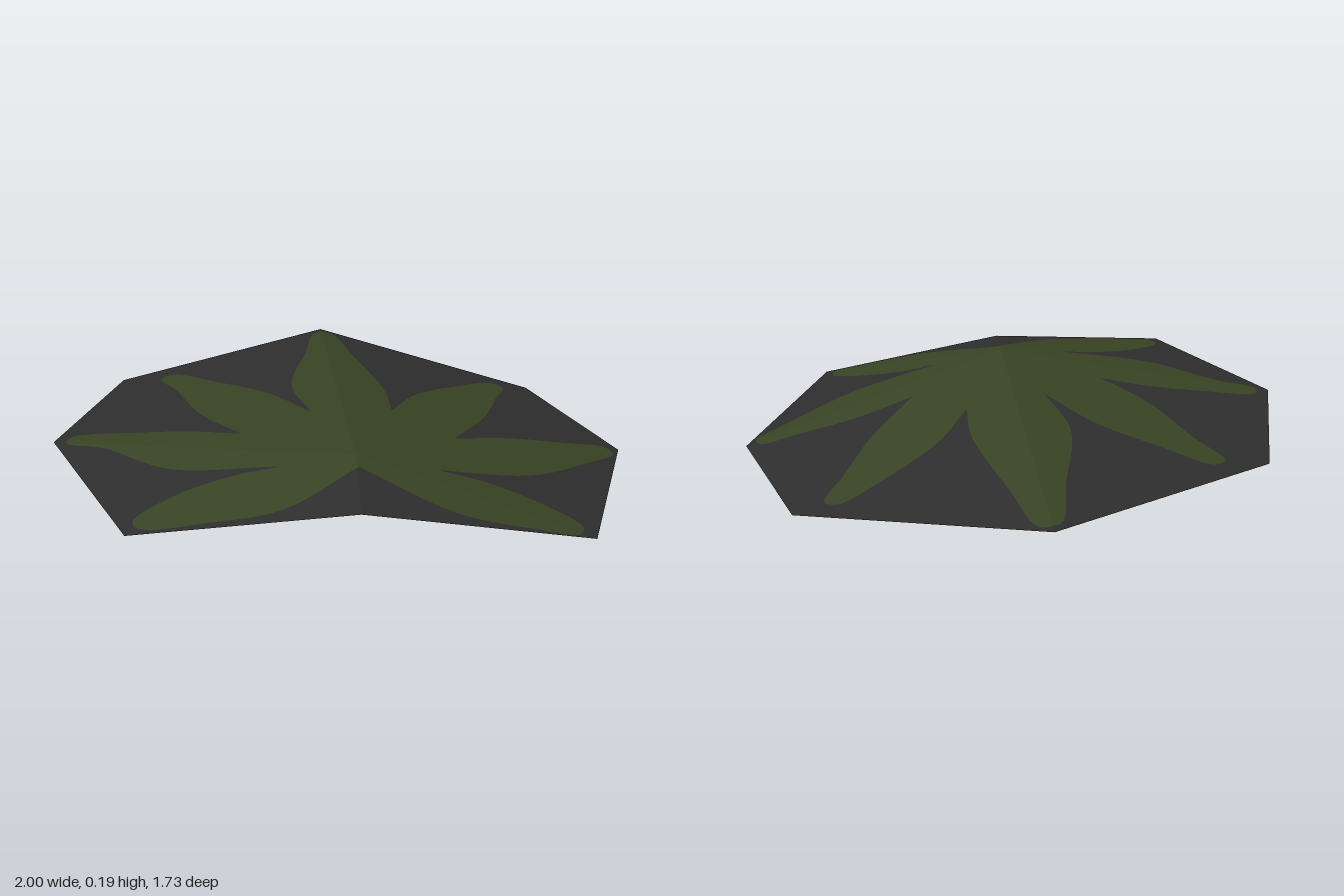
import * as THREE from 'three';

// Folded sheet: a peak and its rim, as x, y, z
const PEAK = [0.01, 0.19, 0.55];
const RIM = [
  [-0.02, 0.16, -0.865], [0.79, 0.026, -0.44], [1, 0, 0.15], [0.73, 0.006, 0.83],
  [0, 0.13, 0.857], [-0.7, 0.088, 0.86], [-1, 0.115, 0.2], [-0.82, 0.114, -0.41],
];

// Each leaf lobe in x, z: starting notch, two points up one side, tip, two points down the other
const LOBES = [
  [-0.112, 0.13, -0.17, -0.17, -0.1, -0.55, -0.012, -0.82, 0.085, -0.57, 0.178, -0.15],
  [0.18, 0.075, 0.3, -0.15, 0.49, -0.33, 0.66, -0.415, 0.625, -0.24, 0.53, 0.01],
  [0.375, 0.275, 0.6, 0.19, 0.8, 0.16, 0.955, 0.168, 0.86, 0.29, 0.6, 0.48],
  [0.27, 0.56, 0.43, 0.585, 0.6, 0.67, 0.69, 0.79, 0.54, 0.82, 0.3, 0.79],
  [0.015, 0.615, -0.23, 0.8, -0.45, 0.833, -0.67, 0.805, -0.555, 0.66, -0.4, 0.592],
  [-0.235, 0.565, -0.58, 0.495, -0.82, 0.29, -0.945, 0.19, -0.72, 0.18, -0.53, 0.215],
  [-0.355, 0.28, -0.5, 0.06, -0.6, -0.22, -0.645, -0.405, -0.47, -0.3, -0.27, -0.12],
];
const TIP_HALF_WIDTH = 0.03;

// Smooth curves from notch to notch, each around a blunt tip
function leafOutline() {
  return LOBES.flatMap((lobe, i) => {
    const next = LOBES[(i + 1) % LOBES.length];
    const flat = [...lobe, next[0], next[1]];
    const [start, a1, a2, tip, b2, b1, end] = [0, 2, 4, 6, 8, 10, 12].map(
      (k) => new THREE.Vector3(flat[k], flat[k + 1], 0));
    const axis = tip.clone().sub(start.clone().lerp(end, 0.5)).normalize();
    const side = new THREE.Vector3(-axis.y, axis.x, 0).multiplyScalar(TIP_HALF_WIDTH);
    const path = [start, a1, a2, tip.clone().sub(side), tip.clone().add(side), b2, b1, end];
    return new THREE.CatmullRomCurve3(path, false, 'centripetal').getPoints(42).slice(0, -1)
      .map((p) => new THREE.Vector2(p.x, p.y));
  });
}

const cross = (a, b, p) => (b.x - a.x) * (p.y - a.y) - (b.y - a.y) * (p.x - a.x);

// Cut a convex polygon down to the part inside a triangle
function clip(poly, tri) {
  tri.forEach((a, i) => {
    const b = tri[(i + 1) % 3];
    const out = [];
    poly.forEach((p, j) => {
      const q = poly[(j + 1) % poly.length];
      const dp = cross(a, b, p), dq = cross(a, b, q);
      if (dp >= 0) out.push(p);
      if ((dp > 0 && dq < 0) || (dp < 0 && dq > 0)) out.push(p.clone().lerp(q, dp / (dp - dq)));
    });
    poly = out;
  });
  return poly;
}

// Lay a flat shape onto the folded facets
function foldShape(contour, holes) {
  const all = [...contour, ...holes.flat()];
  const faces = THREE.ShapeUtils.triangulateShape(contour, holes);
  const pos = [];
  RIM.forEach((r, i) => {
    const corners = [PEAK, r, RIM[(i + 1) % RIM.length]];
    const tri = corners.map((c) => new THREE.Vector2(c[0], c[2]));
    const area = cross(...tri);
    const height = (p) => corners.reduce(
      (y, c, k) => y + c[1] * cross(tri[(k + 1) % 3], tri[(k + 2) % 3], p) / area, 0);
    for (const f of faces) {
      const poly = clip(f.map((k) => all[k]), tri);
      for (let k = 1; k + 1 < poly.length; k++) {
        const t = [poly[0], poly[k], poly[k + 1]];
        const s = cross(...t);
        if (Math.abs(s) < 1e-9) continue;
        if (s > 0) t.reverse(); // upward-facing winding
        for (const p of t) pos.push(p.x, height(p), p.y);
      }
    }
  });
  const geo = new THREE.BufferGeometry();
  geo.setAttribute('position', new THREE.Float32BufferAttribute(pos, 3));
  geo.computeVertexNormals();
  return geo;
}

export function createModel() {
  const group = new THREE.Group();
  group.name = 'foldedLeafSheet';
  const add = (name, colorName, color, geo) => {
    const mat = new THREE.MeshStandardMaterial({ color, side: THREE.DoubleSide });
    mat.name = colorName;
    const mesh = new THREE.Mesh(geo, mat);
    mesh.name = name;
    group.add(mesh);
  };

  const leaf = leafOutline();
  const rim = RIM.map((r) => new THREE.Vector2(r[0], r[2]));

  // The sheet surrounds the leaf, so both lie in one surface
  add('leaf', 'leaf green', 0x384424, foldShape(leaf, []));
  add('backingSheet', 'charcoal', 0x2e2e2e, foldShape(rim, [leaf]));
  return group;
}
